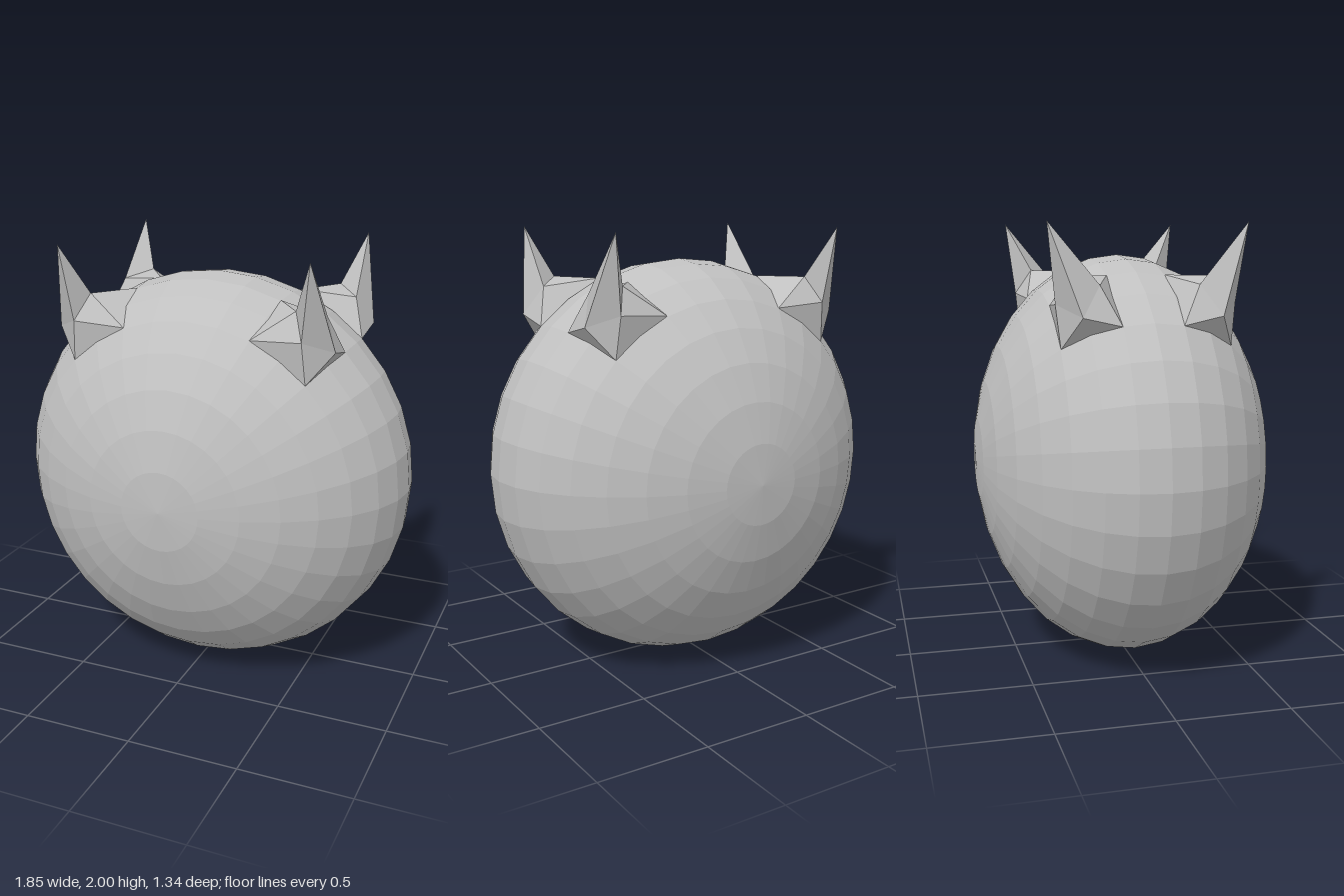
import * as THREE from 'three';

const grey = new THREE.MeshStandardMaterial({ color: 0xc0c0c0, flatShading: true });
grey.name = 'grey';

// Faceted horn: four foot corners on the body, four shoulder points, one tip.
// sx and sz mirror it to the other three places.
function hornGeometry(sx, sz) {
  const feet = [[0.295, 1.645, 0.372], [0.545, 1.475, 0.372], [0.643, 1.572, 0.131], [0.348, 1.773, 0.131]];
  const shoulders = [[0.53, 1.66, 0.392], [0.65, 1.61, 0.3], [0.585, 1.74, 0.215], [0.48, 1.775, 0.32]];
  const tip = [0.572, 2, 0.432];
  const positions = [];
  const tri = (a, b, c) => {
    const corners = sx * sz > 0 ? [a, b, c] : [a, c, b];
    for (const [x, y, z] of corners) positions.push(x * sx, y, z * sz);
  };
  for (let i = 0; i < 4; i++) {
    const before = shoulders[(i + 3) % 4];
    tri(feet[i], feet[(i + 1) % 4], shoulders[i]); // side
    tri(feet[i], shoulders[i], before); // corner
    tri(before, shoulders[i], tip); // spike
  }
  const geometry = new THREE.BufferGeometry();
  geometry.setAttribute('position', new THREE.Float32BufferAttribute(positions, 3));
  geometry.computeVertexNormals();
  return geometry;
}

export function createModel() {
  const model = new THREE.Group();
  model.name = 'hornedBall';

  // Squashed ball with its poles at front and back
  const ball = new THREE.SphereGeometry(1, 32, 16);
  ball.rotateX(Math.PI / 2);
  ball.scale(0.927, 0.927, 0.672);
  ball.translate(0, 0.93, 0);
  const body = new THREE.Mesh(ball, grey);
  body.name = 'body';
  model.add(body);

  // Four horns, mirrored left-right and front-back
  for (const sx of [1, -1]) {
    for (const sz of [1, -1]) {
      const horn = new THREE.Mesh(hornGeometry(sx, sz), grey);
      horn.name = (sz > 0 ? 'front' : 'back') + (sx > 0 ? 'Left' : 'Right') + 'Horn';
      model.add(horn);
    }
  }
  return model;
}
